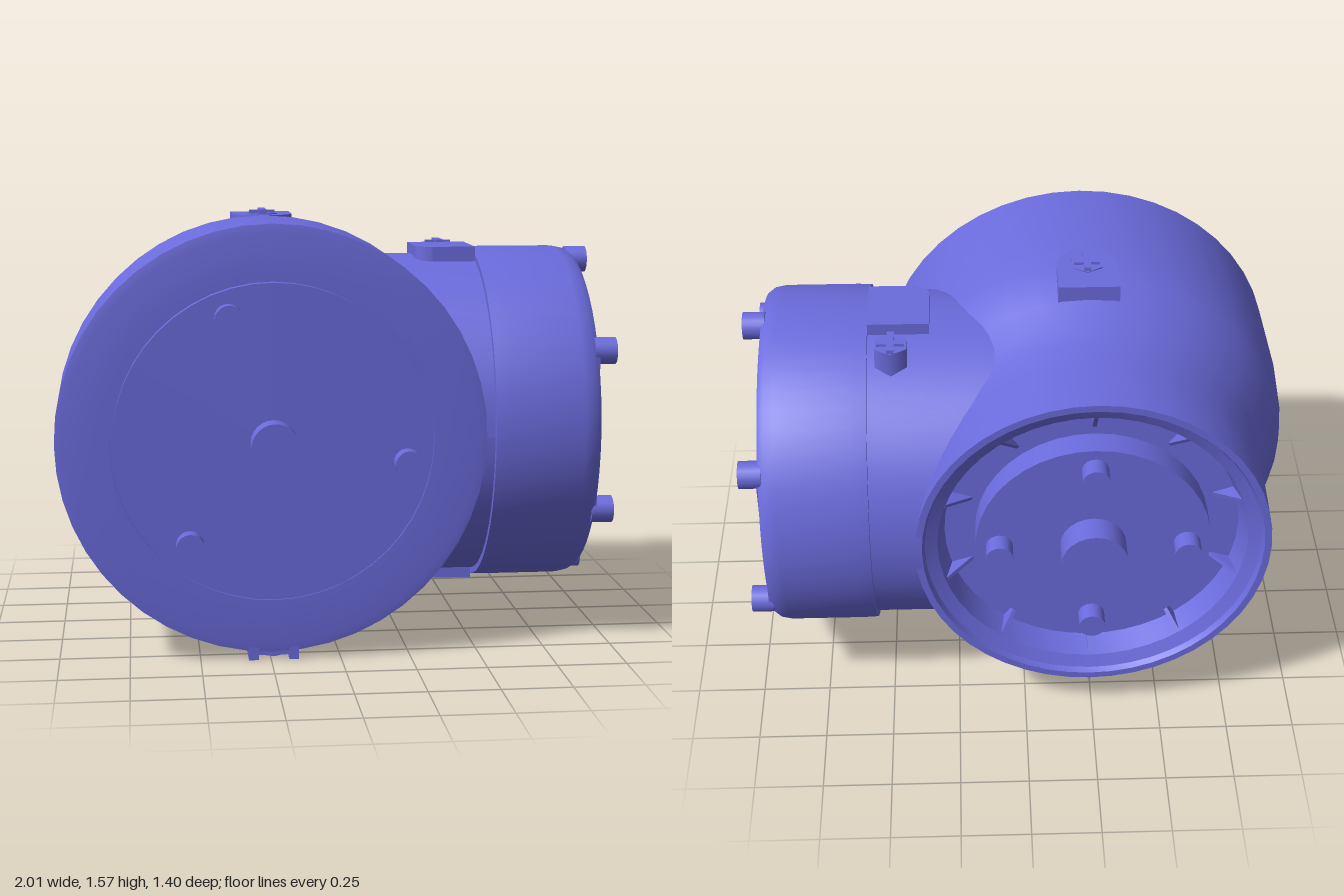
import * as THREE from 'three';
import { toCreasedNormals } from 'three/addons/utils/BufferGeometryUtils.js';

const CX = -0.24, CY = 0.79, CZ = -0.03; // main axis (x, y) and side axis z
const mat = new THREE.MeshStandardMaterial({ color: 0x6b6bdd, side: THREE.DoubleSide });

// outer radius of the main housing along z
const OUTER = [[0.635, -0.63], [0.64, -0.4], [0.648, -0.29], [0.67, -0.21], [0.71, -0.1],
  [0.742, -0.02], [0.757, 0.06], [0.765, 0.2], [0.76, 0.58]];

function radiusAt(z) {
  for (let i = 1; i < OUTER.length; i++) {
    const [r0, z0] = OUTER[i - 1], [r1, z1] = OUTER[i];
    if (z <= z1) return r0 + (r1 - r0) * Math.max(0, (z - z0) / (z1 - z0));
  }
  return 0.76;
}

function lathe(points, segments = 48) {
  const g = new THREE.LatheGeometry(points.map(([r, y]) => new THREE.Vector2(r, y)), segments);
  return toCreasedNormals(g, 0.6);
}

export function createModel() {
  const root = new THREE.Group();
  root.name = 'gearHousing';

  const add = (name, geometry, x = 0, y = 0, z = 0) => {
    const m = new THREE.Mesh(geometry, mat);
    m.name = name;
    m.position.set(x, y, z);
    root.add(m);
    return m;
  };
  // cylinder between two positions on one axis
  const rod = (name, axis, r, from, to, x, y, z, sides = 20) => {
    const g = new THREE.CylinderGeometry(r, r, Math.abs(to - from), sides);
    if (axis === 'x') g.rotateZ(-Math.PI / 2);
    if (axis === 'z') g.rotateX(Math.PI / 2);
    const m = add(name, g, x, y, z);
    m.position[axis] = (from + to) / 2;
    return m;
  };

  // main housing with annular recess at the back and cover plate at the front
  const main = lathe([
    [0, -0.5], [0.53, -0.5], [0.555, -0.59], [0.6, -0.61], [0.61, -0.63],
    ...OUTER,
    [0.73, 0.585], [0.57, 0.585], [0.57, 0.575], [0.56, 0.575], [0.56, 0.615], [0, 0.615],
  ]);
  main.rotateX(Math.PI / 2);
  add('mainHousing', main, CX, CY, 0);

  // front cover hub and bolts
  rod('frontHub', 'z', 0.082, 0.6, 0.7, CX, CY, 0, 24);
  [[-0.395, 1.23], [0.23, 0.715], [-0.535, 0.435]].forEach(([x, y]) =>
    rod('frontBolt', 'z', 0.049, 0.6, 0.675, x, y, 0));

  // back drum, hub, bolts and ribs inside the recess
  rod('backDrum', 'z', 0.42, -0.6, -0.48, CX, CY, 0, 40);
  rod('backHub', 'z', 0.118, -0.705, -0.59, CX, CY, 0, 24);
  for (let i = 0; i < 4; i++) {
    const a = i * Math.PI / 2;
    rod('backBolt', 'z', 0.048, -0.67, -0.59, CX + 0.335 * Math.cos(a), CY + 0.335 * Math.sin(a), 0);
  }
  const ribShape = new THREE.Shape([
    new THREE.Vector2(0.45, 0), new THREE.Vector2(0.55, 0), new THREE.Vector2(0.55, 0.08)]);
  const ribGeo = new THREE.ExtrudeGeometry(ribShape, { depth: 0.015, bevelEnabled: false });
  ribGeo.translate(0, 0, -0.0075).rotateX(-Math.PI / 2);
  for (let i = 0; i < 10; i++) {
    const rib = add('recessRib', ribGeo, CX, CY, -0.5);
    rib.rotation.z = (i + 0.5) * Math.PI / 5;
  }

  // neck whose inner end follows the surface of the main housing
  const neck = new THREE.CylinderGeometry(0.605, 0.605, 1, 64, 6, true).rotateZ(-Math.PI / 2);
  const p = neck.attributes.position;
  for (let i = 0; i < p.count; i++) {
    const t = p.getX(i) + 0.5, y = p.getY(i), z = p.getZ(i) + CZ;
    const start = CX + Math.sqrt(radiusAt(z) ** 2 - y * y) - 0.02;
    p.setXYZ(i, start + (0.56 - start) * t, CY + y, z);
  }
  neck.computeVertexNormals();
  add('sideNeck', neck);

  // side cap with stepped ring and round pocket
  const cap = lathe([
    [0.59, 0.55], [0.628, 0.55], [0.63, 0.6], [0.63, 0.87], [0.622, 0.91], [0.605, 0.932],
    [0.445, 0.932], [0.445, 0.922], [0.435, 0.922], [0.435, 0.937],
    [0.27, 0.937], [0.27, 0.84], [0, 0.84],
  ], 56);
  cap.rotateZ(-Math.PI / 2);
  add('sideCap', cap, 0, CY, CZ);

  // side cap bolts and the raised strips between them
  for (const s of [-1, 1]) {
    rod('capBolt', 'x', 0.049, 0.92, 1, 0, CY + s * 0.578, CZ);
    for (const v of [-1, 1]) rod('capBolt', 'x', 0.049, 0.92, 1, 0, CY + v * 0.29, CZ + s * 0.5);
    add('capStrip', new THREE.BoxGeometry(0.03, 0.58, 0.1), 0.922, CY, CZ + s * 0.495);
  }

  // screw plug with crossed bars on its head
  const plug = (name, x, y, z, r) => {
    rod(name, 'y', r, y - 0.12, y - 0.015, x, 0, z, 6);
    add(name + 'Bar', new THREE.BoxGeometry(0.026, 0.03, r * 1.8), x, y - 0.015, z);
    add(name + 'Bar', new THREE.BoxGeometry(r * 1.5, 0.02, 0.026), x, y - 0.015, z);
  };

  // top boss: square at the back, round at the front
  const boss = new THREE.Shape();
  boss.moveTo(-0.11, 0.1);
  boss.lineTo(-0.11, -0.05);
  boss.absarc(0, -0.05, 0.11, Math.PI, Math.PI * 2, false);
  boss.lineTo(0.11, 0.1);
  const bossGeo = new THREE.ExtrudeGeometry(boss, { depth: 0.12, bevelEnabled: false, curveSegments: 16 });
  bossGeo.rotateX(-Math.PI / 2);
  add('topBoss', bossGeo, CX, 1.433, 0);
  plug('topPlug', CX, 1.572, 0.055, 0.062);
  plug('neckPlug', 0.465, 1.435, -0.24, 0.065);

  // pads on the neck, above and below
  const pad = new THREE.Shape();
  pad.moveTo(0.55, -0.12);
  pad.lineTo(0.55, 0.13);
  pad.lineTo(0.33, 0.13);
  pad.lineTo(0.33, -0.06);
  pad.quadraticCurveTo(0.33, -0.11, 0.39, -0.12);
  const padGeo = new THREE.ExtrudeGeometry(pad, { depth: 0.07, bevelEnabled: false });
  padGeo.rotateX(-Math.PI / 2);
  add('upperPad', padGeo, 0, 1.36, 0);
  add('lowerPad', new THREE.BoxGeometry(0.19, 0.08, 0.26), 0.455, 0.2, -0.03);

  // slotted drain foot under the front edge
  for (const s of [-1, 1]) add('drainFoot', new THREE.BoxGeometry(0.035, 0.06, 0.17), CX + s * 0.072, 0.03, 0.497);
  add('drainFootCore', new THREE.BoxGeometry(0.18, 0.045, 0.16), CX, 0.0375, 0.49);
  rod('drainPlug', 'y', 0.05, 0.003, 0.05, CX, 0, 0.5, 6);

  return root;
}
